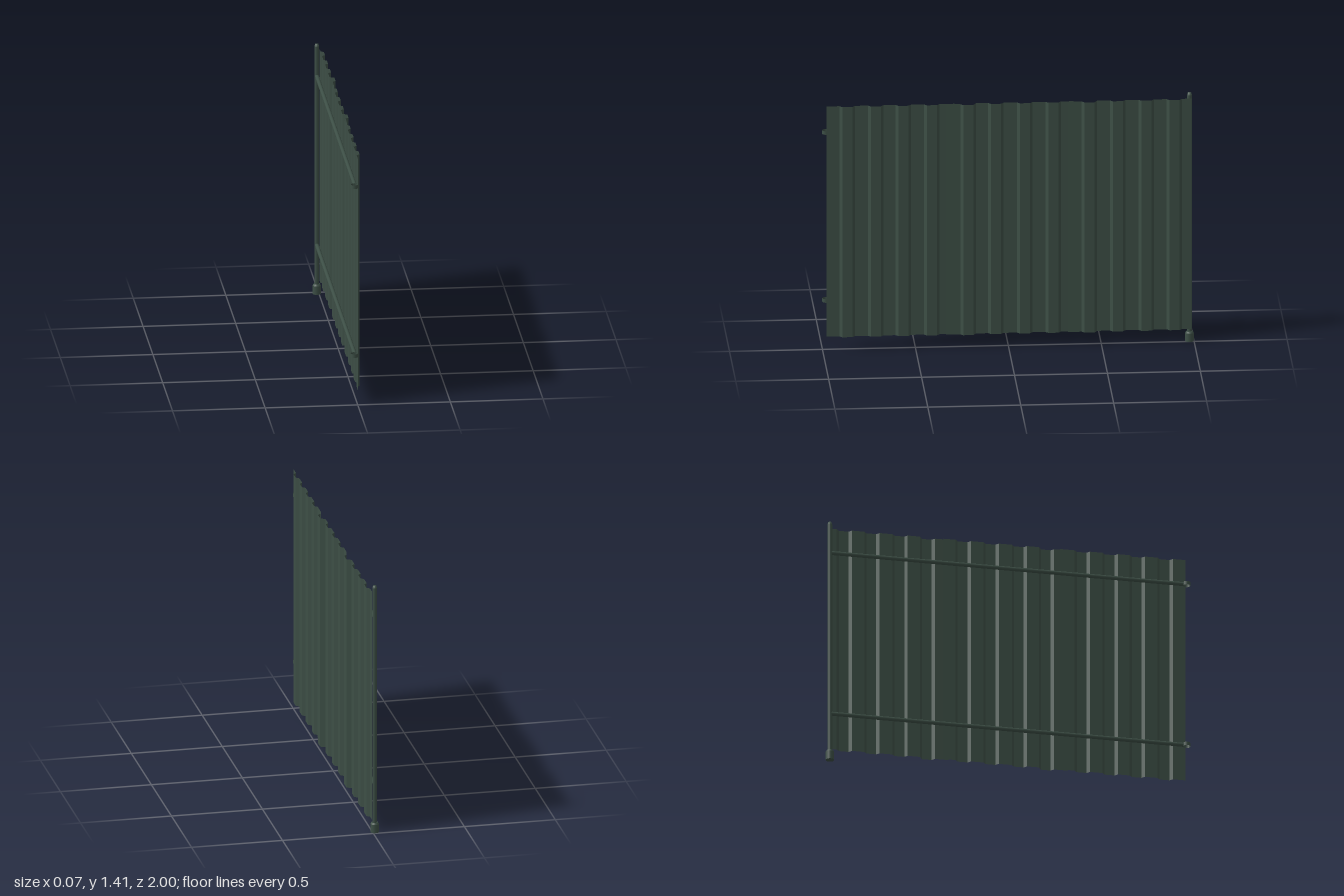
import * as THREE from 'three';

export function createModel() {
  const model = new THREE.Group();
  const green = new THREE.MeshStandardMaterial({ color: 0x3d4f46, side: THREE.DoubleSide });
  green.name = 'dark green metal';

  const add = (name, geometry, x, y, z) => {
    const mesh = new THREE.Mesh(geometry, green);
    mesh.name = name;
    mesh.position.set(x, y, z);
    model.add(mesh);
  };

  // Corrugated sheet: a folded strip in x/z, raised from bottom to top
  const bottom = 0.073, top = 1.378;
  const sheet = (name, start, end, ridges, lap) => {
    const path = [[lap ? 0.012 : 0.004, start]];
    ridges.forEach((z, i) => {
      const lift = lap && i === 0 ? 0.009 : 0; // first ridge rides over the neighbouring sheet
      path.push([0.004 + lift, z + 0.042], [0.021 + lift, z + 0.027],
        [0.021 + lift, z - 0.027], [0.004, z - 0.042]);
    });
    path.push([0.004, end]);
    const positions = [];
    for (let i = 0; i < path.length - 1; i++) {
      const [x0, z0] = path[i], [x1, z1] = path[i + 1];
      positions.push(x0, bottom, z0, x1, bottom, z1, x1, top, z1,
        x0, bottom, z0, x1, top, z1, x0, top, z0);
    }
    const geometry = new THREE.BufferGeometry();
    geometry.setAttribute('position', new THREE.Float32BufferAttribute(positions, 3));
    geometry.computeVertexNormals();
    add(name, geometry, 0, 0, 0);
  };
  sheet('frontSheet', 0.978, 0.29, [0.867, 0.714, 0.565, 0.412], false);
  sheet('middleSheet', 0.335, -0.35, [0.217, 0.067, -0.088, -0.241], true);
  sheet('rearSheet', -0.32, -0.985, [-0.436, -0.588, -0.742, -0.893], true);

  // Post with a rounded cap, and its foot with a chamfered top
  const lathe = (points, sides) =>
    new THREE.LatheGeometry(points.map(([r, y]) => new THREE.Vector2(r, y)), sides);
  const postX = -0.012, postZ = -0.976;
  add('post', lathe([[0.013, 0.03], [0.013, 1.395], [0.013, 1.395], [0.009, 1.408], [0, 1.408]], 12),
    postX, 0, postZ);
  add('postFoot', lathe([[0, 0], [0.023, 0], [0.023, 0], [0.023, 0.047], [0.023, 0.047],
    [0.018, 0.056], [0.018, 0.056], [0, 0.056]], 12), postX, 0, postZ);

  // Two rails, each ending in an open clamp ring
  for (const y of [0.275, 1.227]) {
    add('rail', new THREE.CylinderGeometry(0.011, 0.011, 1.935, 10).rotateX(Math.PI / 2),
      postX, y, -0.005);
    add('clampRing', new THREE.CylinderGeometry(0.02, 0.02, 0.02, 16, 1, true), -0.016, y, 0.98);
  }

  return model;
}
